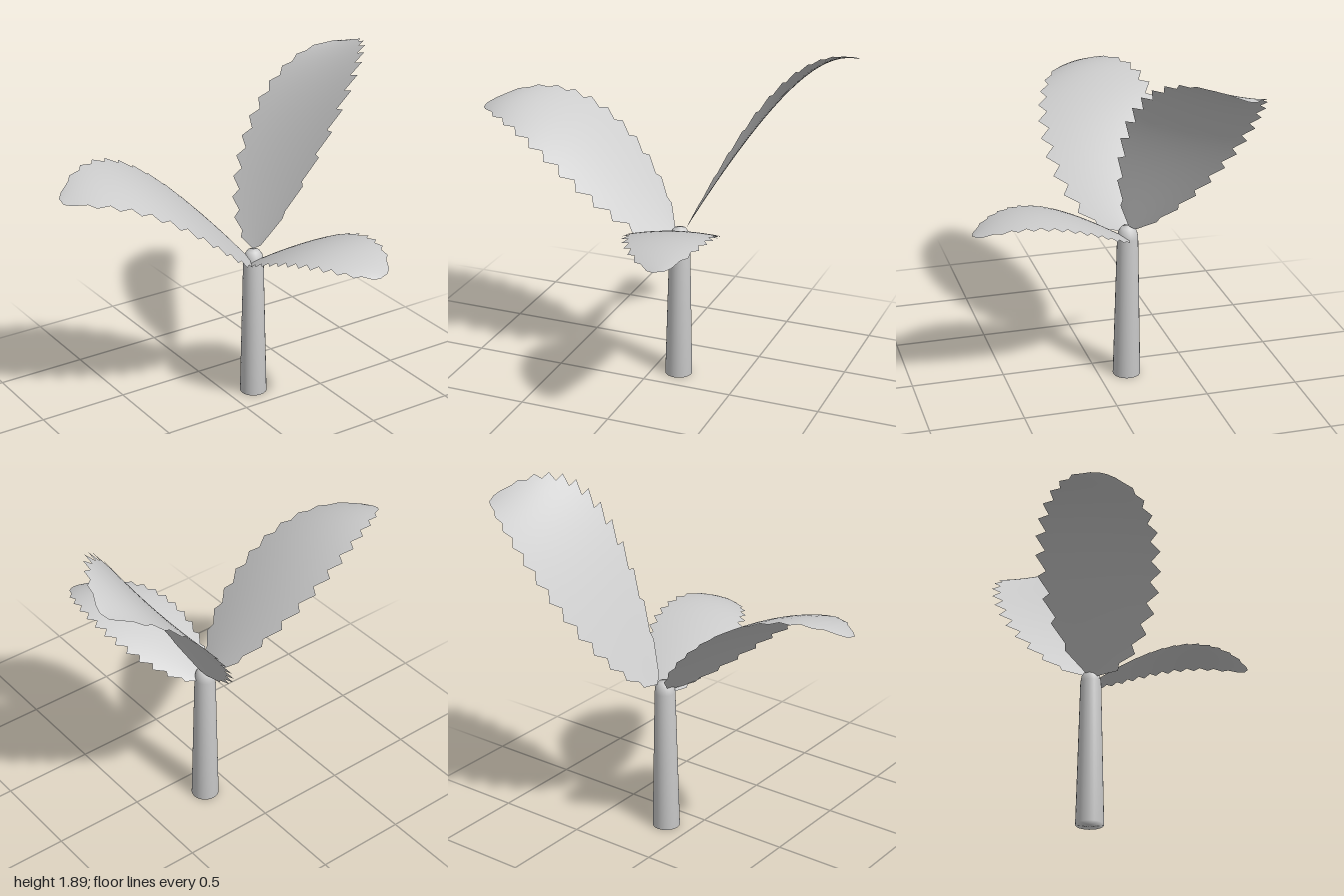
import * as THREE from 'three';

const STEM_X = 0.147, STEM_Z = -0.155;

// A serrated blade: plan path from base to tip, height as a function of plan position,
// edges bent down (or up, if droop is negative) from the midrib.
function leafGeometry({ path, width, blunt, skew, teeth, droop, height }) {
  const curve = new THREE.QuadraticBezierCurve(...path.map(p => new THREE.Vector2(...p)));
  const rows = teeth * 2, inner = 4, cols = 2 * (inner + 1);
  const positions = [], indices = [];
  for (let i = 0; i <= rows; i++) {
    for (let j = 0; j <= cols; j++) {
      const side = j - inner - 1;
      const isEdge = Math.abs(side) > inner;
      const isPeak = isEdge && i % 2 === 1;
      // tooth points lean towards the tip
      const t = Math.min(1, (i + (isPeak ? 0.4 : 0)) / rows);
      const p = curve.getPoint(t), dir = curve.getTangent(t);
      const w = Math.max(0.03, width * Math.pow(Math.max(0, Math.sin(Math.PI * Math.pow(t, skew))), blunt));
      const s = isEdge ? Math.sign(side) * (isPeak ? 1.02 : 0.86) : 0.85 * side / inner;
      const x = p.x - dir.y * w * s, z = p.y + dir.x * w * s;
      const y = height(x, z) - droop * s * s * (w / width);
      positions.push(x, y, z);
      if (i < rows && j < cols) {
        const a = i * (cols + 1) + j, b = a + cols + 1;
        indices.push(a, b, a + 1, a + 1, b, b + 1);
      }
    }
  }
  const geometry = new THREE.BufferGeometry();
  geometry.setAttribute('position', new THREE.Float32BufferAttribute(positions, 3));
  geometry.setIndex(indices);
  geometry.computeVertexNormals();
  return geometry;
}

export function createModel() {
  const group = new THREE.Group();
  const grey = new THREE.MeshStandardMaterial({ color: 0xcccccc, side: THREE.DoubleSide });
  grey.name = 'plain grey';

  // Tapered stem with a domed top
  const profile = [[0, 0], [0.075, 0], [0.056, 0.8], [0.05, 0.835], [0.034, 0.86], [0, 0.87]];
  const stem = new THREE.Mesh(new THREE.LatheGeometry(profile.map(p => new THREE.Vector2(...p)), 24), grey);
  stem.name = 'stem';
  stem.position.set(STEM_X, 0, STEM_Z);
  group.add(stem);

  // Three leaves, each arching and tilting its own way
  const leaves = {
    rightLeaf: {
      path: [[0.11, -0.16], [-0.43, -0.14], [-1, -0.16]],
      width: 0.32, blunt: 0.62, skew: 0.87, teeth: 12, droop: 0.03,
      height: (x, z) => {
        const u = 0.14 - x;
        return 0.8 + 1.06 * u - 0.4 * u ** 3 - (0.35 - 0.12 * u) * (z + 0.155);
      },
    },
    backLeaf: {
      path: [[0.18, -0.17], [0.59, -0.375], [1, -0.51]],
      width: 0.345, blunt: 0.64, skew: 0.92, teeth: 13, droop: -0.02,
      height: (x, z) => {
        const u = x - 0.15;
        const tilt = 0.6 * (u - 0.35) * (z + 0.16 + 0.41 * u);
        return 0.81 + 1.88 * u - 0.98 * u ** 3 + tilt;
      },
    },
    frontLeaf: {
      path: [[0.15, -0.15], [0.27, 0.27], [0.37, 0.715]],
      width: 0.25, blunt: 0.53, skew: 0.97, teeth: 13, droop: 0.025,
      height: (x, z) => {
        const u = z + 0.16;
        const tilt = (0.18 - 0.13 * u) * (x - 0.14 - 0.26 * u);
        return 0.79 + 0.68 * u - 0.15 * u * u - 0.41 * u ** 3 + tilt;
      },
    },
  };
  for (const [name, spec] of Object.entries(leaves)) {
    const leaf = new THREE.Mesh(leafGeometry(spec), grey);
    leaf.name = name;
    group.add(leaf);
  }
  return group;
}
